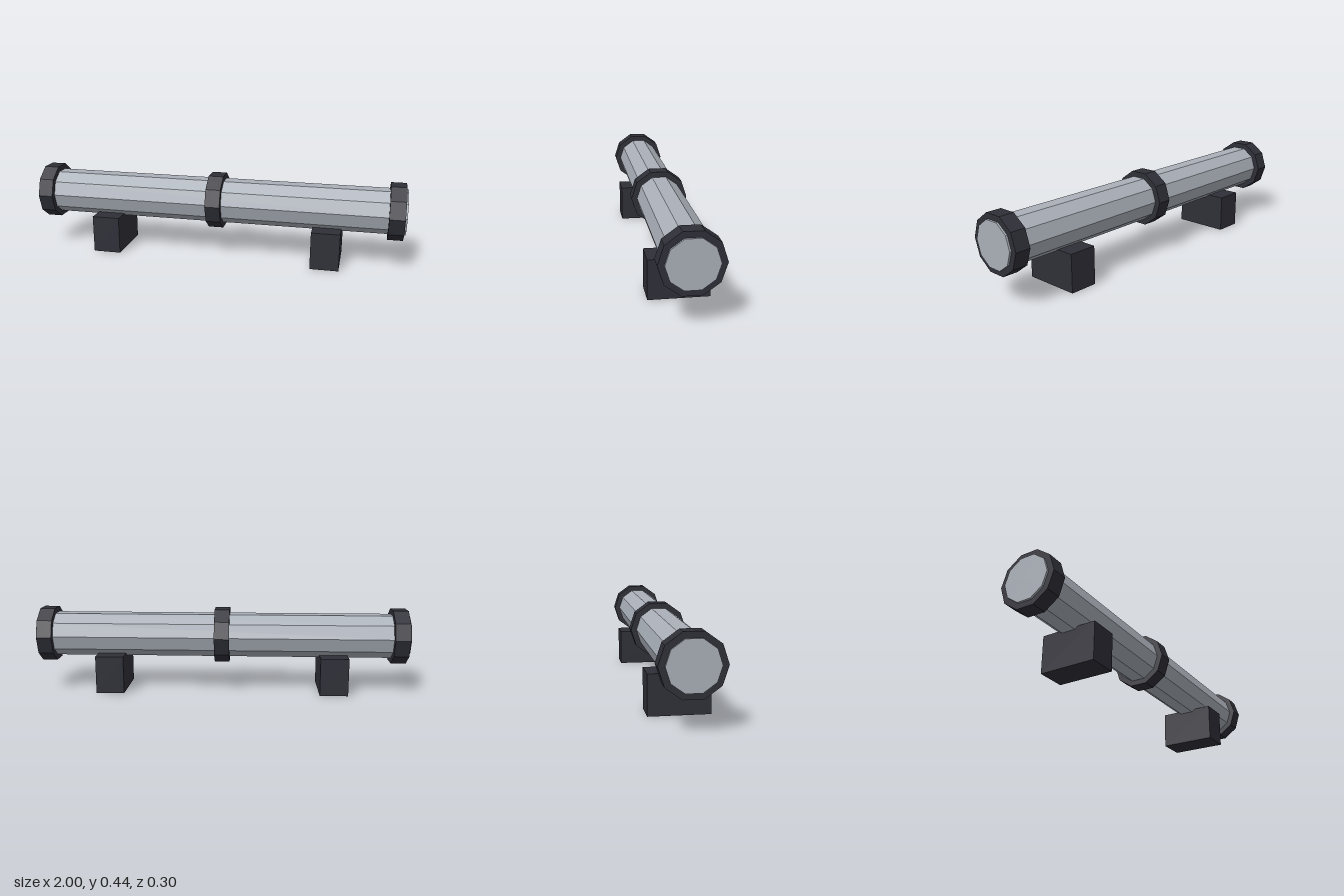
import * as THREE from 'three';

export function createModel() {
  const model = new THREE.Group();
  model.name = 'pipeOnSupports';

  const steel = new THREE.MeshStandardMaterial({ color: 0xaab0b9, flatShading: true });
  steel.name = 'light steel';
  const dark = new THREE.MeshStandardMaterial({ color: 0x2f2f38, flatShading: true });
  dark.name = 'dark iron';

  const axisY = 0.3;

  function add(name, geometry, material, x, y) {
    const mesh = new THREE.Mesh(geometry, material);
    mesh.name = name;
    mesh.position.set(x, y, 0);
    model.add(mesh);
  }

  // Ten-sided cylinder lying along x, with flats at top and bottom
  const lyingCylinder = (radius, length) =>
    new THREE.CylinderGeometry(radius, radius, length, 10).rotateZ(-Math.PI / 2);

  // Main pipe
  add('pipe', lyingCylinder(0.12, 2), steel, 0, axisY);

  // Collars at both ends and the middle
  const collar = lyingCylinder(0.15, 0.08);
  add('rightCollar', collar, dark, -0.95, axisY);
  add('middleCollar', collar, dark, 0, axisY);
  add('leftCollar', collar, dark, 0.95, axisY);

  // Support blocks
  const block = new THREE.BoxGeometry(0.15, 0.2, 0.3);
  add('rightSupport', block, dark, -0.6, 0.1);
  add('leftSupport', block, dark, 0.6, 0.1);

  return model;
}
